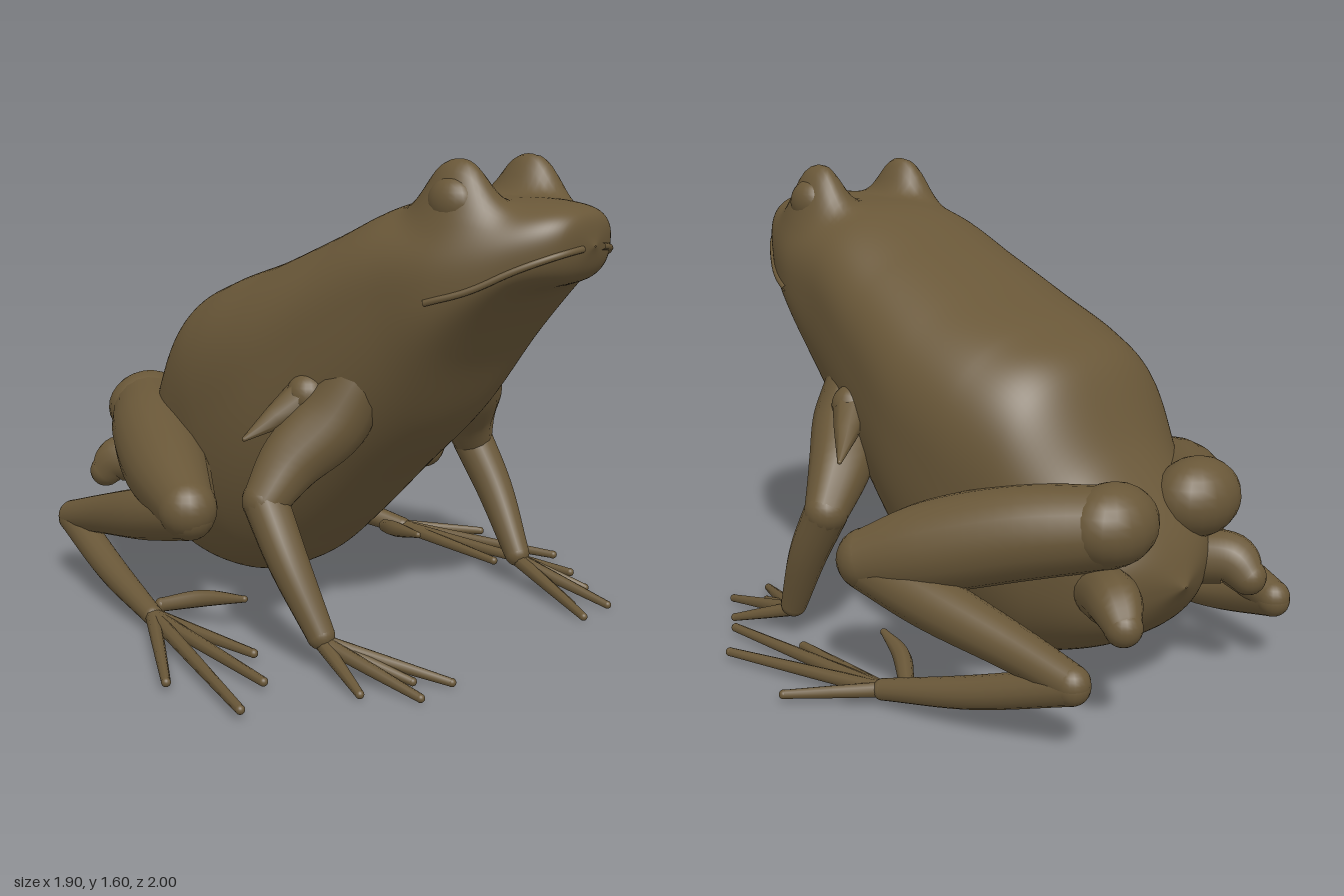
import * as THREE from 'three';
import { ParametricGeometry } from 'three/addons/geometries/ParametricGeometry.js';

const CX = 0.04; // the body sits slightly to the left of the origin

export function createModel() {
  const model = new THREE.Group();
  model.name = 'frog';
  const skin = new THREE.MeshStandardMaterial({ color: 0x695738, side: THREE.DoubleSide });
  skin.name = 'olive brown skin';

  const add = (name, geometry, parent = model) => {
    const mesh = new THREE.Mesh(geometry, skin);
    mesh.name = name;
    parent.add(mesh);
  };
  const ball = (name, x, y, z, rx, ry, rz, parent) => {
    add(name, new THREE.SphereGeometry(1, 20, 14).scale(rx, ry, rz).translate(x, y, z), parent);
  };

  // Tapered limb through points [x, y, z, radius], with rounded ends
  const limb = (name, pts, parent, sides = 14) => {
    const curve = new THREE.CatmullRomCurve3(pts.map(p => new THREE.Vector3(p[0], p[1], p[2])));
    const radii = new THREE.CatmullRomCurve3(pts.map(p => new THREE.Vector3(p[3], 0, 0)), false, 'catmullrom');
    const steps = pts.length > 2 ? 16 : 2;
    const geo = new THREE.TubeGeometry(curve, steps, 1, sides);
    const pos = geo.attributes.position, p = new THREE.Vector3();
    for (let i = 0; i <= steps; i++) {
      const t = curve.getUtoTmapping(i / steps);
      const c = curve.getPoint(t), r = radii.getPoint(t).x;
      for (let j = 0; j <= sides; j++) {
        const k = i * (sides + 1) + j;
        p.fromBufferAttribute(pos, k).sub(c).multiplyScalar(r).add(c);
        pos.setXYZ(k, p.x, p.y, p.z);
      }
    }
    add(name, geo, parent);
    for (const e of [pts[0], pts[pts.length - 1]]) ball(name + 'End', e[0], e[1], e[2], e[3], e[3], e[3], parent);
  };

  // Body cross-sections, snout to rump: top z, y, bottom z, y, half width, height of the widest point
  const sections = [
    [1.0, 1.354, 1.0, 1.35, 0.004, 0.5],
    [0.97, 1.45, 0.95, 1.25, 0.15, 0.45],
    [0.85, 1.48, 0.81, 1.18, 0.265, 0.3],
    [0.65, 1.48, 0.64, 0.97, 0.35, 0.48],
    [0.4, 1.46, 0.48, 0.72, 0.385, 0.62],
    [0.15, 1.35, 0.25, 0.49, 0.43, 0.63],
    [-0.1, 1.24, 0.02, 0.26, 0.47, 0.62],
    [-0.35, 1.15, -0.14, 0.12, 0.46, 0.6],
    [-0.53, 1.05, -0.32, 0.07, 0.415, 0.56],
    [-0.68, 0.8, -0.52, 0.1, 0.35, 0.5],
    [-0.86, 0.57, -0.78, 0.22, 0.24, 0.5],
    [-0.93, 0.412, -0.93, 0.408, 0.004, 0.5],
  ];
  const track = f => new THREE.CatmullRomCurve3(sections.map(f), false, 'catmullrom');
  const topLine = track(s => new THREE.Vector3(0, s[1], s[0]));
  const bottomLine = track(s => new THREE.Vector3(0, s[3], s[2]));
  const shape = track(s => new THREE.Vector3(s[4], s[5], 0));
  const soften = (a, e) => Math.sign(a) * Math.abs(a) ** e;
  const surface = (u, v, target) => {
    const t = THREE.MathUtils.clamp(u, 0, 1), a = v * Math.PI * 2;
    const { x: half, y: w } = shape.getPoint(t);
    const s = soften(Math.sin(a), 0.8);
    target.lerpVectors(bottomLine.getPoint(t), topLine.getPoint(t), w + s * (s > 0 ? 1 - w : w));
    const x = half * soften(Math.cos(a), 0.8);
    target.x = CX + x;
    // Eye bulges rise smoothly out of the head
    if (s > 0) {
      const dx = (Math.abs(x) - 0.2) / 0.085, dz = (target.z - 0.63) / 0.125;
      target.y += 0.15 * Math.min(1, s * 1.5) * Math.exp(-((dx * dx + dz * dz) ** 1.4));
    }
    return target;
  };
  add('body', new ParametricGeometry(surface, 120, 96));

  // Upper lip follows the body surface
  for (const side of [1, -1]) {
    const pts = [];
    for (let i = 0; i <= 14; i++) {
      pts.push(surface(0.03 + 0.25 * i / 14, side > 0 ? -0.01 : 0.51, new THREE.Vector3()));
    }
    add('upperLip', new THREE.TubeGeometry(new THREE.CatmullRomCurve3(pts), 40, 0.011, 8));
  }

  const toes = {
    1: [[0.93, -0.04], [0.87, 0.35], [0.74, 0.51], [0.66, 0.22]],
    '-1': [[-0.94, 0.14], [-0.93, 0.45], [-0.74, 0.36], [-0.6, 0.18]],
  };

  for (const side of [1, -1]) {
    const label = side > 0 ? 'left' : 'right';
    const at = (x, y, z, r) => [CX + side * x, y, z, r];
    const group = name => {
      const g = new THREE.Group();
      g.name = label + name;
      model.add(g);
      return g;
    };

    // Eyeball set into the bulge
    ball(label + 'Eyeball', CX + side * 0.225, 1.475, 0.635, 0.065, 0.08, 0.085, model);

    // Folded hind leg: thigh, shin, foot and long toes
    const hind = group('HindLeg');
    ball('hip', CX + side * 0.2, 0.63, -0.8, 0.16, 0.13, 0.13, hind);
    limb('thigh', [at(0.22, 0.62, -0.78, 0.13), at(0.37, 0.59, -0.58, 0.148),
      at(0.52, 0.52, -0.34, 0.145), at(0.62, 0.45, -0.14, 0.1)], hind, 20);
    limb('shin', [at(0.62, 0.43, -0.13, 0.085), at(0.58, 0.37, -0.4, 0.09),
      at(0.515, 0.29, -0.72, 0.07), at(0.485, 0.24, -0.91, 0.057)], hind);
    limb('foot', [at(0.485, 0.23, -0.91, 0.057), at(0.585, 0.13, -0.58, 0.052), at(0.67, 0.06, -0.27, 0.035)], hind);
    for (const [x, z] of toes[side]) {
      limb('toe', [[CX + side * 0.67, 0.06, -0.27, 0.026], [x, 0.035, z, 0.015]], hind, 8);
    }
    limb('innerToe', [at(0.6, 0.07, -0.3, 0.025), at(0.52, 0.1, -0.18, 0.03), at(0.47, 0.12, -0.03, 0.012)], hind, 8);

    // Rounded lump beside the rump
    limb('rumpLump', [at(0.22, 0.42, -0.78, 0.09), at(0.28, 0.42, -0.89, 0.085), at(0.3, 0.37, -0.94, 0.06)], hind);

    // Front leg: upper arm, forearm and spread fingers
    const front = group('FrontLeg');
    limb('upperArm', [at(0.29, 0.9, 0.32, 0.1), at(0.36, 0.77, 0.27, 0.125),
      at(0.47, 0.64, 0.19, 0.105), at(0.555, 0.52, 0.155, 0.075)], front);
    limb('forearm', [at(0.555, 0.52, 0.155, 0.075), at(0.56, 0.34, 0.26, 0.066), at(0.54, 0.12, 0.38, 0.046)], front);
    for (const [x, z] of [[0.63, 0.62], [0.53, 0.775], [0.45, 0.68], [0.375, 0.775]]) {
      limb('finger', [at(0.54, 0.1, 0.38, 0.026), at(x, 0.02, z, 0.014)], front, 8);
    }

    // Pointed skin flap behind the upper arm
    limb('skinFlap', [at(0.4, 0.85, 0.2, 0.07), at(0.56, 0.71, 0.07, 0.008)], front, 8);
  }
  return model;
}
